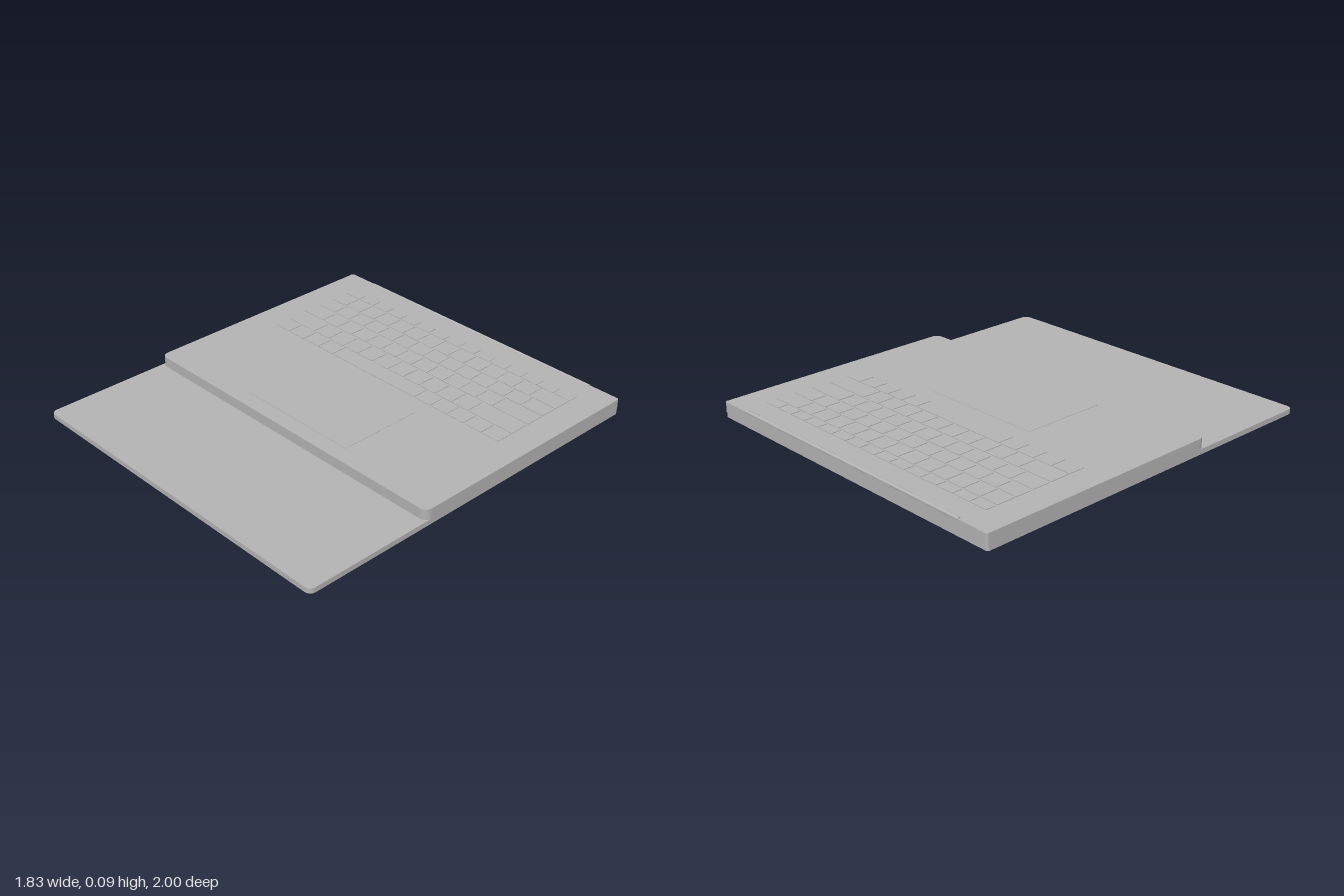
import * as THREE from 'three';

const grey = new THREE.MeshStandardMaterial({ color: 0xb4b4b4 });
grey.name = 'grey shell';

// Flat slab with rounded corners, lying in x/z between two heights.
function slab(name, x0, x1, z0, z1, y0, y1, rBack, rFront) {
  const s = new THREE.Shape();
  s.moveTo(x0 + rFront, -z1);
  s.lineTo(x1 - rFront, -z1);
  s.quadraticCurveTo(x1, -z1, x1, -z1 + rFront);
  s.lineTo(x1, -z0 - rBack);
  s.quadraticCurveTo(x1, -z0, x1 - rBack, -z0);
  s.lineTo(x0 + rBack, -z0);
  s.quadraticCurveTo(x0, -z0, x0, -z0 - rBack);
  s.lineTo(x0, -z1 + rFront);
  s.quadraticCurveTo(x0, -z1, x0 + rFront, -z1);
  const g = new THREE.ExtrudeGeometry(s, { depth: y1 - y0, bevelEnabled: false, curveSegments: 6 });
  g.rotateX(-Math.PI / 2);
  g.translate(0, y0, 0);
  const mesh = new THREE.Mesh(g, grey);
  mesh.name = name;
  return mesh;
}

export function createModel() {
  const model = new THREE.Group();
  model.name = 'laptop';
  const W = 0.917, DECK = 0.08, X = 0.772, GAP = 0.009;

  // Lid folded flat underneath, and the keyboard body on top of its rear part
  model.add(slab('lid', -W, W, -0.995, 1, 0, 0.026, 0.012, 0.035));
  model.add(slab('body', -W, W, -0.998, 0.335, 0.026, DECK, 0.012, 0.04));

  // Hinge bar along the rear edge
  const hinge = new THREE.Mesh(new THREE.CylinderGeometry(0.009, 0.009, 1.49, 16), grey);
  hinge.rotation.z = Math.PI / 2;
  hinge.position.set(0, 0.078, -0.99);
  hinge.name = 'hinge';
  model.add(hinge);

  // Trackpad
  model.add(slab('trackpad', -0.335, 0.335, -0.2, 0.25, DECK - 0.004, DECK + 0.002, 0.008, 0.008));

  // Key rows: rear edge, front edge, first key width, regular keys and their pitch
  const regular = (first, count, pitch) => [first, ...Array(count).fill(pitch)];
  const rows = [
    [-0.867, -0.807, regular(0.103, 13, 0.103)],
    [-0.803, -0.703, regular(0.106, 12, 0.106)],
    [-0.699, -0.608, regular(0.122, 12, 0.107)],
    [-0.6, -0.503, regular(0.143, 11, 0.107)],
    [-0.495, -0.389, regular(0.2, 10, 0.107)],
    [-0.385, -0.293, [0.111, 0.111, 0.111, 0.106, 0.571, 0.106, 0.106, 0.106, 0.111]],
  ];
  const keyboard = new THREE.Group();
  keyboard.name = 'keyboard';
  for (const [z0, z1, widths] of rows) {
    let x = -X;
    const used = widths.reduce((a, b) => a + b, 0);
    for (const w of [...widths, 2 * X - used]) { // last key fills the row
      const key = new THREE.Mesh(new THREE.BoxGeometry(w - GAP, 0.007, z1 - z0 - 0.004), grey);
      key.position.set(x + w / 2, DECK, (z0 + z1) / 2);
      key.name = 'key';
      keyboard.add(key);
      x += w;
    }
  }
  model.add(keyboard);
  return model;
}
